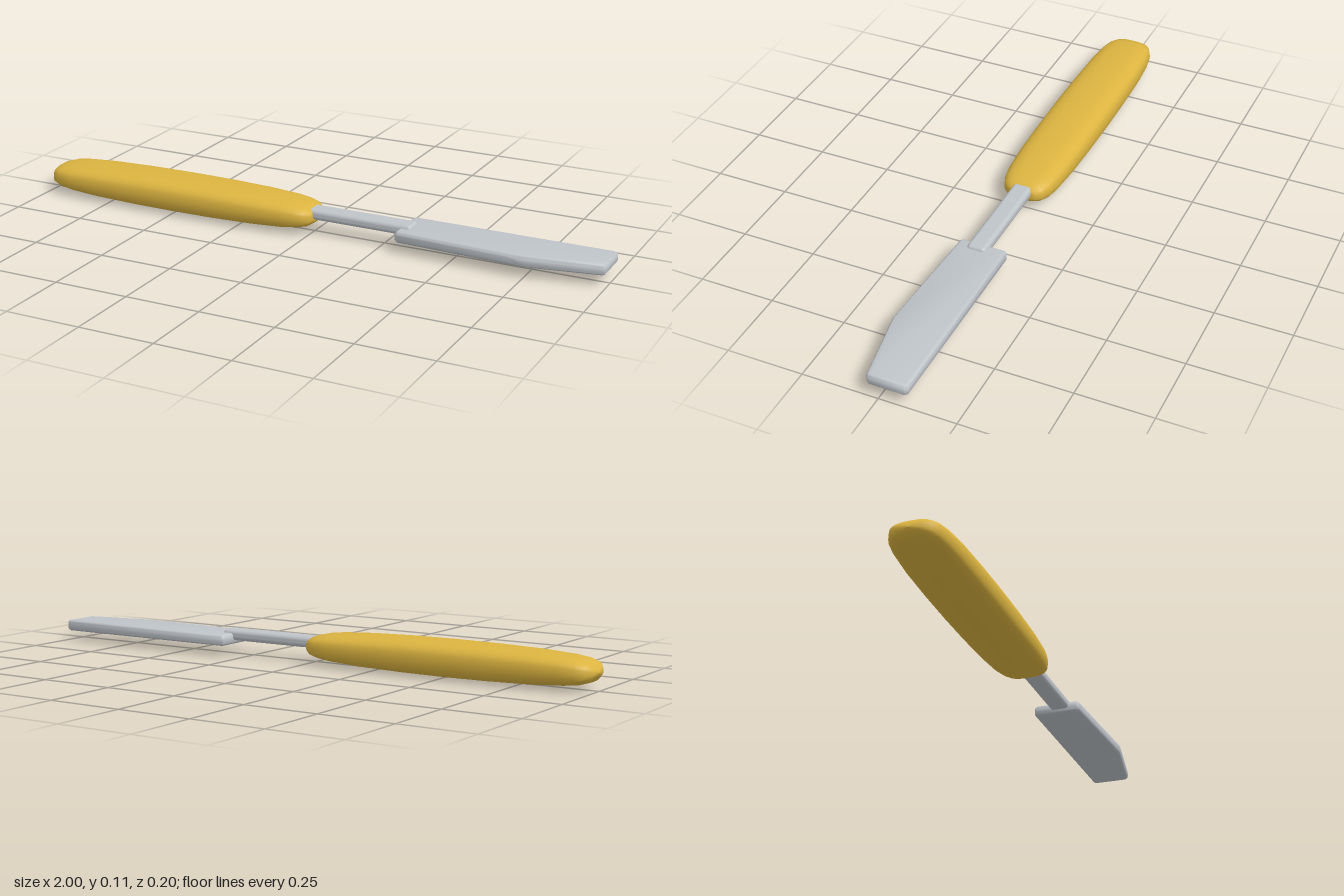
import * as THREE from 'three';
import { toCreasedNormals } from 'three/addons/utils/BufferGeometryUtils.js';
import { RoundedBoxGeometry } from 'three/addons/geometries/RoundedBoxGeometry.js';

// Lofts rounded-rectangle sections [x, halfHeight, halfWidth] along x
function loft(sections, sides, power) {
  const pos = [], index = [];
  const bulge = (v) => Math.sign(v) * Math.pow(Math.abs(v), 2 / power);
  sections.forEach(([x, h, w], i) => {
    for (let j = 0; j < sides; j++) {
      const a = (j / sides) * Math.PI * 2;
      pos.push(x, h * bulge(Math.sin(a)), w * bulge(Math.cos(a)));
      if (i === sections.length - 1) continue;
      const k = (j + 1) % sides;
      const p = i * sides + j, q = i * sides + k;
      index.push(p, p + sides, q + sides, p, q + sides, q);
    }
  });
  const geo = new THREE.BufferGeometry();
  geo.setAttribute('position', new THREE.Float32BufferAttribute(pos, 3));
  geo.setIndex(index);
  geo.computeVertexNormals();
  return geo;
}

export function createModel() {
  const group = new THREE.Group();
  const yellow = new THREE.MeshStandardMaterial({ name: 'yellowHandle', color: 0xdcb440 });
  const steel = new THREE.MeshStandardMaterial({ name: 'steel', color: 0xbfc4c9 });

  const add = (name, geo, mat, x, y, z) => {
    const mesh = new THREE.Mesh(geo, mat);
    mesh.name = name;
    mesh.position.set(x, y, z);
    group.add(mesh);
  };

  // Swollen handle, closing to a blunt end on both sides
  const handle = loft([
    [-1, 0.001, 0.001], [-0.995, 0.014, 0.04], [-0.98, 0.03, 0.066], [-0.95, 0.039, 0.081],
    [-0.9, 0.045, 0.09], [-0.8, 0.051, 0.097], [-0.65, 0.055, 0.1], [-0.5, 0.056, 0.101],
    [-0.35, 0.055, 0.1], [-0.2, 0.051, 0.097], [-0.09, 0.045, 0.09], [-0.04, 0.039, 0.081],
    [-0.01, 0.032, 0.069], [0.007, 0.022, 0.052], [0.01, 0.012, 0.03], [0.005, 0.001, 0.001],
  ], 24, 2.8);
  add('handle', handle, yellow, 0, 0.057, 0);

  // Flat shaft from the handle onto the blade
  add('shaft', new RoundedBoxGeometry(0.385, 0.036, 0.066, 4, 0.014), steel, 0.1625, 0.066, 0);

  // Blade: straight back, bellied edge, clipped tip
  const outline = new THREE.Shape([
    [0.312, -0.084], [0.322, -0.092], [0.985, -0.092], [0.995, -0.084],
    [0.995, 0.034], [0.986, 0.043], [0.76, 0.085], [0.735, 0.089],
    [0.7, 0.087], [0.322, 0.07], [0.312, 0.062],
  ].map(([x, z]) => new THREE.Vector2(x, z)));
  const bevel = 0.012;
  const blade = new THREE.ExtrudeGeometry(outline, {
    depth: 0.038 - 2 * bevel, bevelThickness: bevel, bevelSize: bevel,
    bevelOffset: -bevel, bevelSegments: 4,
  });
  blade.rotateX(Math.PI / 2);
  add('blade', toCreasedNormals(blade, 0.9), steel, 0, 0.073 - bevel, 0);

  return group;
}
